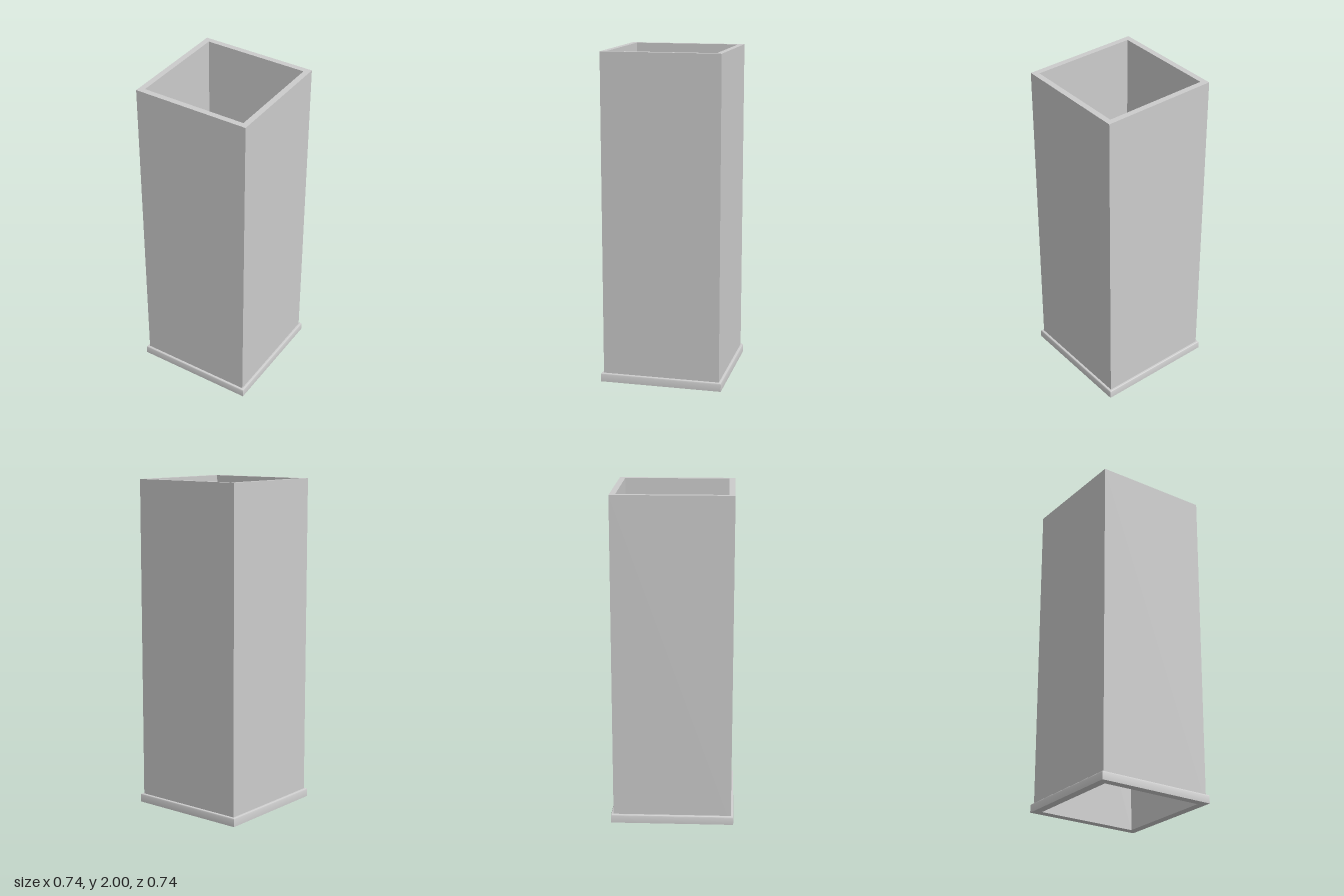
import * as THREE from 'three';
import { toCreasedNormals } from 'three/addons/utils/BufferGeometryUtils.js';

const material = new THREE.MeshStandardMaterial({ color: 0xcccccc });

// Sweeps a profile of [half width, height] points around a square.
function squareRing(name, profile) {
  const points = profile.map(([half, y]) => new THREE.Vector2(half * Math.SQRT2, y));
  const geometry = new THREE.LatheGeometry(points, 4, Math.PI / 4);
  const mesh = new THREE.Mesh(toCreasedNormals(geometry, Math.PI / 5), material);
  mesh.name = name;
  return mesh;
}

export function createModel() {
  const group = new THREE.Group();
  group.name = 'squarePost';

  const outer = 0.357, inner = 0.322, height = 2;
  const trimOuter = 0.372, trimHeight = 0.052, round = 0.009;

  // Hollow square tube, open at both ends
  group.add(squareRing('postTube', [
    [outer, 0], [outer, height], [inner, height], [inner, 0], [outer, 0],
  ]));

  // Base trim with a rounded upper edge
  const trim = [[outer, 0], [trimOuter, 0]];
  const steps = 6;
  for (let i = 0; i <= steps; i++) {
    const a = (i / steps) * Math.PI / 2;
    trim.push([
      trimOuter - round + round * Math.cos(a),
      trimHeight - round + round * Math.sin(a),
    ]);
  }
  trim.push([outer, trimHeight]);
  group.add(squareRing('baseTrim', trim));

  return group;
}
